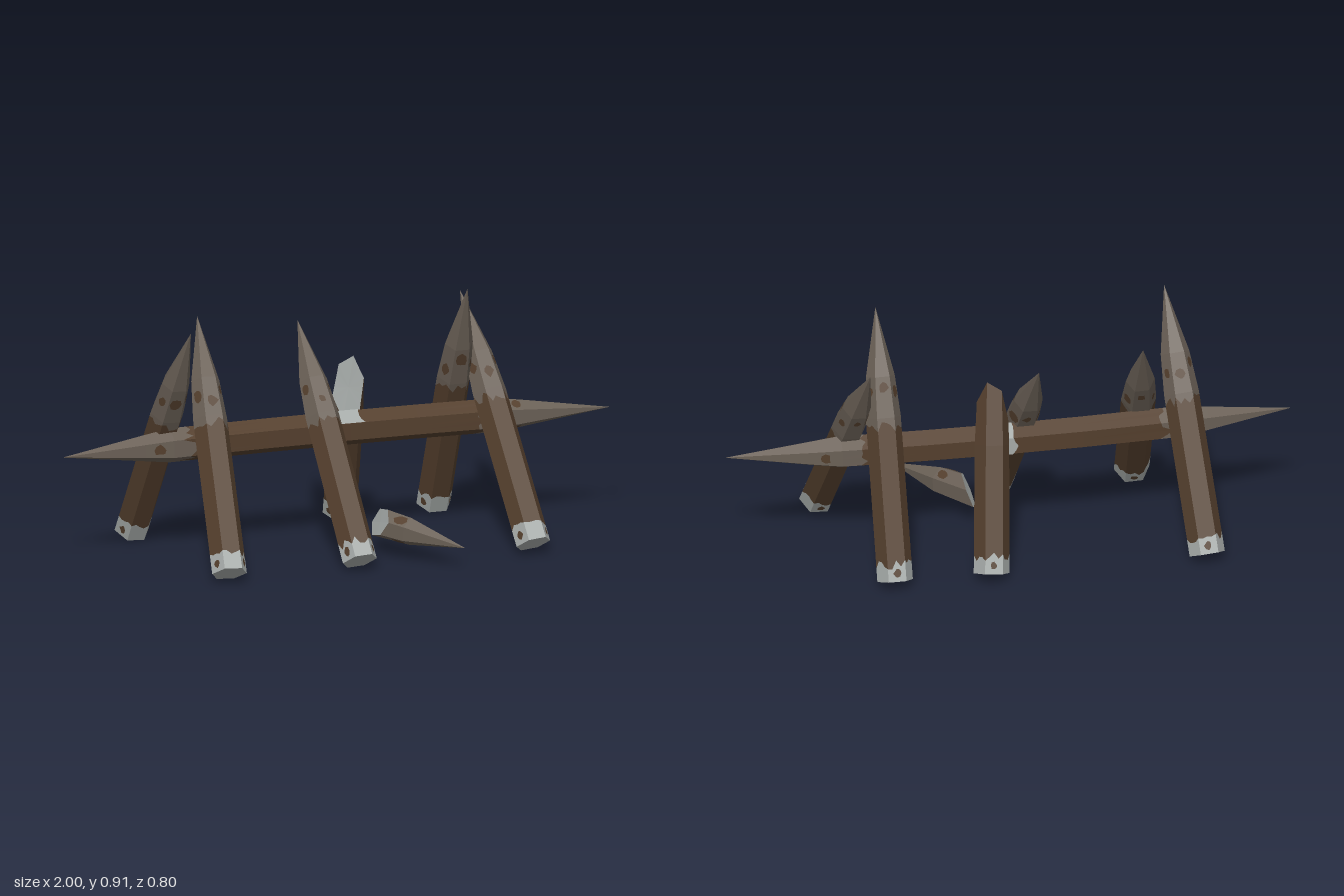
import * as THREE from 'three';

const mat = (name, color) => {
  const m = new THREE.MeshStandardMaterial({ color });
  m.name = name;
  return m;
};

export function createModel() {
  const WOOD = 0, TIP = 1, CUT = 2;
  const materials = [mat('brownWood', 0x543f2d), mat('weatheredTip', 0x6a6056), mat('paleCut', 0xa6aba9)];
  const model = new THREE.Group();
  model.name = 'spikeBarricade';

  // small seeded random generator
  let seed = 7;
  const rand = () => ((seed = (seed * 16807) % 2147483647) / 2147483647);
  const jagged = (y, amount) => {
    const offsets = Array.from({ length: 24 }, () => (rand() - 0.5) * 2 * amount);
    return a => y + offsets[Math.round(a * 4) % 24];
  };
  const flat = y => () => y;

  // Hexagonal log along local y; "a" runs 0..6 around the faces.
  function logBuilder(profile, bend = () => 0) {
    const tris = [[], [], []];
    const radius = y => {
      let i = 0;
      while (i < profile.length - 2 && y > profile[i + 1][0]) i++;
      const [y0, r0] = profile[i], [y1, r1] = profile[i + 1];
      return Math.max(0.0005, r0 + (r1 - r0) * (y - y0) / (y1 - y0));
    };
    const point = (a, y, lift = 0) => {
      const f = Math.floor(a), t = a - f, r = radius(y) + lift;
      const c = k => Math.cos(k * Math.PI / 3), s = k => Math.sin(k * Math.PI / 3);
      return new THREE.Vector3(
        r * (c(f) * (1 - t) + c(f + 1) * t), y,
        r * (s(f) * (1 - t) + s(f + 1) * t) + bend(y));
    };
    const tri = (m, ...ps) => ps.forEach(p => tris[m].push(p.x, p.y, p.z));
    const builder = {
      // strip of surface between two heights
      sheet(m, lo, hi, a0 = 0, a1 = 6, lift = 0) {
        for (let a = a0; a < a1; a += 0.25) {
          const b = a + 0.25;
          const p = point(a, lo(a), lift), q = point(a, hi(a), lift);
          const r = point(b, hi(b), lift), s = point(b, lo(b), lift);
          tri(m, p, q, r);
          tri(m, p, r, s);
        }
      },
      // closed end, flat or oblique
      cap(m, level, top) {
        const mid = new THREE.Vector3();
        for (let k = 0; k < 6; k++) mid.addScaledVector(point(k, level(k)), 1 / 6);
        for (let a = 0; a < 6; a += 0.25) {
          const p = point(a, level(a)), q = point(a + 0.25, level(a + 0.25));
          top ? tri(m, mid, q, p) : tri(m, mid, p, q);
        }
      },
      // irregular stain lying on one face
      spot(m, face, y, size) {
        const c = point(face + 0.5, y, 0.002), pts = [];
        for (let k = 0; k < 8; k++) {
          const s = size * (0.7 + 0.5 * rand()), g = k * Math.PI / 4;
          const da = Math.max(-0.48, Math.min(0.48, Math.cos(g) * s / radius(y)));
          pts.push(point(face + 0.5 + da, y + Math.sin(g) * s * 1.2, 0.002));
        }
        pts.forEach((p, k) => tri(m, c, pts[(k + 1) % 8], p));
      },
      // mesh laid from one point toward another, local x following the hint
      mesh(name, from, to, hint) {
        const g = new THREE.BufferGeometry();
        g.setAttribute('position', new THREE.Float32BufferAttribute(tris.flat(), 3));
        let start = 0;
        tris.forEach((t, i) => {
          g.addGroup(start, t.length / 3, i);
          start += t.length / 3;
        });
        g.computeVertexNormals();
        const Y = to.clone().sub(from).normalize();
        const X = hint.clone().addScaledVector(Y, -hint.dot(Y)).normalize();
        g.applyMatrix4(new THREE.Matrix4().makeBasis(X, Y, X.clone().cross(Y)).setPosition(from));
        const mesh = new THREE.Mesh(g, materials);
        mesh.name = name;
        model.add(mesh);
      },
    };
    return builder;
  }

  const V = (x, y, z) => new THREE.Vector3(x, y, z);
  const xAxis = V(1, 0, 0), yAxis = V(0, 1, 0);

  // pale sawn foot shared by every leaning stake
  function foot(log) {
    const edge = jagged(0.06, 0.016);
    log.cap(CUT, flat(0), false);
    log.sheet(CUT, flat(0), edge);
    for (let f = 0; f < 6; f += 2) log.spot(WOOD, f, 0.03, 0.013);
    return edge;
  }

  // leaning sharpened stakes
  const stakes = [
    ['frontStakeRight', V(-0.5, 0.035, 0.295), V(-0.44, 0.81, -0.25)],
    ['frontStakeMiddle', V(-0.02, 0.035, 0.29), V(-0.07, 0.76, -0.255)],
    ['frontStakeLeft', V(0.62, 0.035, 0.28), V(0.53, 0.81, -0.265)],
    ['backStakeRight', V(-0.65, 0.028, -0.345), V(-0.58, 0.86, 0.105)],
    ['backStakeLeft', V(0.455, 0.028, -0.335), V(0.455, 0.91, 0.045)],
  ];
  for (const [name, from, to] of stakes) {
    const L = from.distanceTo(to), shoulder = L * 0.6, neck = L * 0.75;
    const log = logBuilder([[0, 0.063], [shoulder, 0.062], [neck, 0.051], [L, 0]]);
    const low = foot(log), high = jagged(L * 0.57, 0.022);
    log.sheet(WOOD, low, high);
    log.sheet(TIP, high, flat(shoulder));
    log.sheet(TIP, flat(shoulder), flat(neck));
    log.sheet(TIP, flat(neck), flat(L));
    for (let f = 0; f < 6; f++) log.spot(WOOD, f, L * (0.65 + 0.06 * rand()), 0.012 + 0.01 * rand());
    log.mesh(name, from, to, xAxis);
  }

  // snapped stake with an oblique break
  {
    const log = logBuilder([[0, 0.063], [0.45, 0.061], [0.7, 0.05]]);
    const corner = k => 0.57 - 0.1 * Math.sin(k * Math.PI / 3) + 0.03 * Math.cos(k * Math.PI / 3);
    const cut = a => {
      const f = Math.floor(a), t = a - f;
      return corner(f) * (1 - t) + corner(f + 1) * t;
    };
    const low = foot(log);
    log.sheet(WOOD, low, flat(0.45));
    log.sheet(WOOD, flat(0.45), cut);
    log.cap(CUT, cut, true);
    log.mesh('brokenStake', V(0.115, 0.028, -0.345), V(0.06, 0.66, -0.06), xAxis);
  }

  // fallen point of the snapped stake
  {
    const from = V(0.09, 0.115, 0.075), to = V(0.33, 0.08, 0.4), L = from.distanceTo(to);
    const log = logBuilder([[-0.1, 0.06], [0.17, 0.05], [L, 0]]);
    const corner = k => 0.04 + 0.03 * Math.cos(k * Math.PI / 3) - 0.06 * Math.sin(k * Math.PI / 3);
    const cut = a => {
      const f = Math.floor(a), t = a - f;
      return corner(f) * (1 - t) + corner(f + 1) * t;
    };
    log.cap(CUT, cut, false);
    log.sheet(TIP, cut, flat(0.17));
    log.sheet(TIP, flat(0.17), flat(L));
    for (const f of [0, 2, 3, 5]) log.spot(WOOD, f, 0.14, 0.02);
    log.mesh('fallenPoint', from, to, yAxis);
  }

  // slightly bowed cross beam, pointed at both ends
  {
    const bow = y => 0.042 * (1 - (y - 1) ** 2);
    const log = logBuilder([[0, 0], [0.3, 0.047], [0.4, 0.062], [1.6, 0.062], [1.7, 0.047], [2, 0]], bow);
    const left = jagged(0.46, 0.03), right = jagged(1.54, 0.03);
    const levels = [flat(0), flat(0.3), flat(0.4), left, flat(0.75), flat(1.05), flat(1.3), right,
      flat(1.6), flat(1.7), flat(2)];
    const colours = [TIP, TIP, TIP, WOOD, WOOD, WOOD, WOOD, TIP, TIP, TIP];
    colours.forEach((m, i) => log.sheet(m, levels[i], levels[i + 1]));
    for (let f = 0; f < 6; f += 2) {
      log.spot(WOOD, f, 0.35, 0.018);
      log.spot(WOOD, f + 1, 1.66, 0.018);
    }
    // worn pale patch over the top and back
    const a = jagged(0.99, 0.01), b = jagged(1.1, 0.01);
    log.sheet(CUT, a, b, 5, 6, 0.002);
    log.sheet(CUT, a, b, 0, 2, 0.002);
    log.mesh('crossBeam', V(-1, 0.408, -0.042), V(1, 0.408, -0.034), yAxis);
  }

  return model;
}
